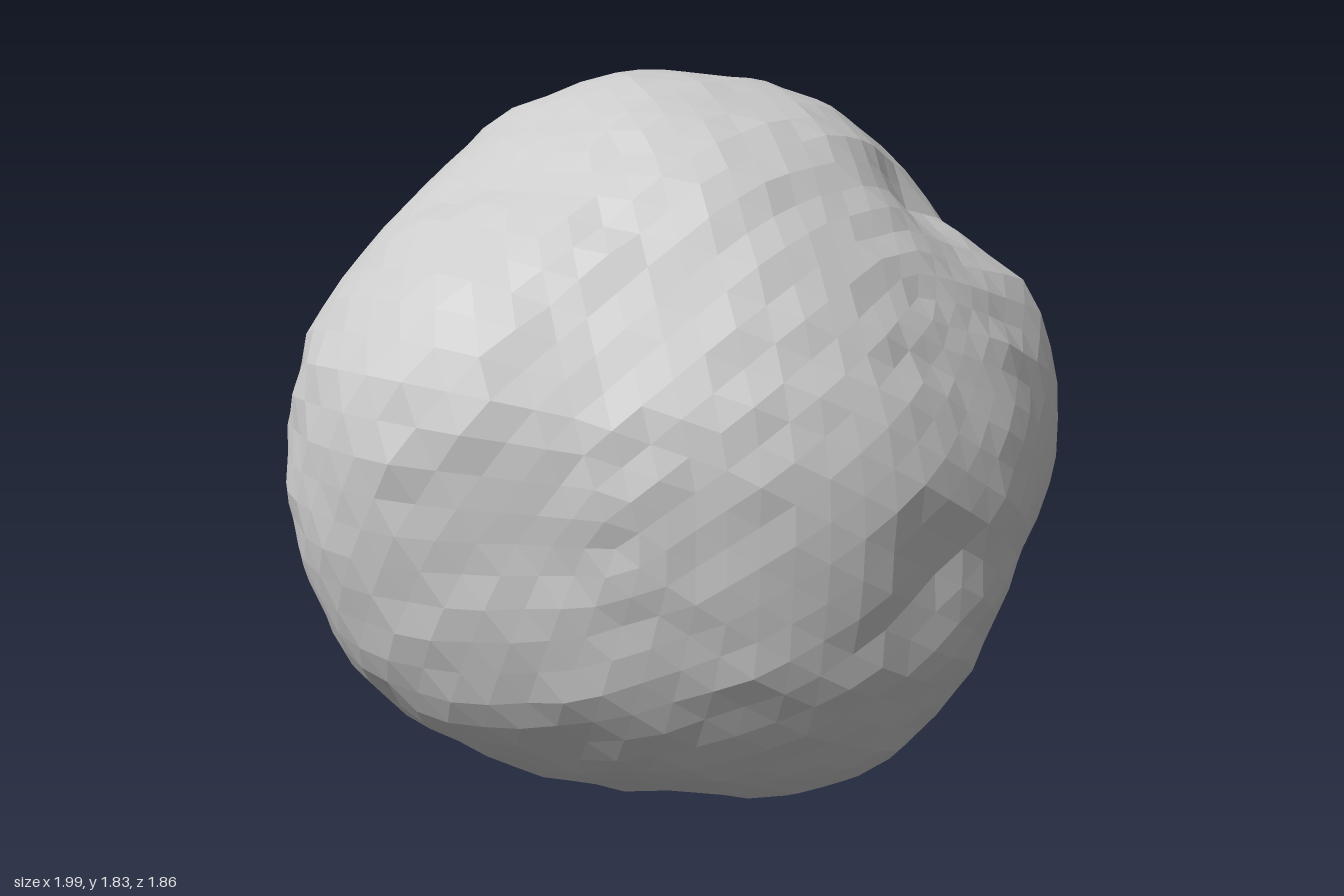
import * as THREE from 'three';

const CY = 0.9; // height of the rock's centre

// Turns an outline of points around the centre into radius as a function of angle.
function outline(points) {
  const polar = points
    .map(([a, b]) => ({ t: Math.atan2(b, a), r: Math.hypot(a, b) }))
    .sort((p, q) => p.t - q.t);
  const first = polar[0], last = polar[polar.length - 1];
  polar.unshift({ t: last.t - 2 * Math.PI, r: last.r });
  polar.push({ t: first.t + 2 * Math.PI, r: first.r });
  return (a, b) => {
    const t = Math.atan2(b, a);
    let i = 1;
    while (i < polar.length - 1 && polar[i].t < t) i++;
    const p = polar[i - 1], q = polar[i];
    return THREE.MathUtils.lerp(p.r, q.r, (t - p.t) / (q.t - p.t || 1));
  };
}

const lift = ([a, y]) => [a, y - CY];

// Outline across x and y
const frontRadius = outline([
  [0, 1.82], [-0.27, 1.77], [-0.55, 1.58], [-0.8, 1.42], [-0.95, 1.25], [-1, 1.08],
  [-0.97, 0.8], [-0.88, 0.48], [-0.73, 0.31], [-0.5, 0.17], [-0.2, 0.05], [0.13, 0],
  [0.37, 0.04], [0.65, 0.15], [0.85, 0.36], [0.97, 0.55], [1, 0.72], [0.94, 1.02],
  [0.85, 1.27], [0.75, 1.47], [0.63, 1.64], [0.4, 1.76], [0.2, 1.81],
].map(lift));

// Outline across z and y
const sideRadius = outline([
  [-0.12, 1.82], [0.18, 1.79], [0.45, 1.68], [0.56, 1.56], [0.73, 1.35], [0.8, 1.23],
  [0.88, 1.05], [0.94, 0.8], [0.89, 0.5], [0.78, 0.3], [0.62, 0.15], [0.3, 0.05], [0, 0.01],
  [-0.25, 0.05], [-0.45, 0.09], [-0.6, 0.2], [-0.7, 0.42], [-0.82, 0.64], [-0.93, 0.87],
  [-0.83, 1.05], [-0.66, 1.32], [-0.5, 1.57], [-0.3, 1.75],
].map(lift));

// Outline across x and z
const topRadius = outline([
  [0, -0.93], [0.12, -0.93], [0.4, -0.86], [0.55, -0.77], [0.86, -0.5], [0.97, -0.3],
  [1, -0.15], [0.95, 0.05], [0.84, 0.4], [0.74, 0.6], [0.65, 0.79], [0.4, 0.86],
  [0.15, 0.92], [-0.3, 0.88], [-0.47, 0.78], [-0.65, 0.6], [-0.84, 0.31],
  [-0.93, 0.13], [-1, -0.05], [-0.97, -0.25], [-0.87, -0.42], [-0.73, -0.57], [-0.52, -0.74], [-0.25, -0.87],
]);

// Local dents (negative) and bumps: direction, depth, angular width
const features = [
  [0.39, 0.63, 0.52, -0.08, 0.2],    // notch in the upper front
  [0.63, 0.35, 0.7, 0.03, 0.16],     // top of the front ridge
  [0.5, -0.5, 0.64, -0.07, 0.32],    // broad lower front face under the ridge
  [0.75, -0.3, 0.45, -0.02, 0.25],   // undercut beside the ridge
  [-0.18, -0.14, 0.9, -0.04, 0.14],  // small chip in the front
  [-0.75, 0.47, 0.39, -0.05, 0.25],  // flattened upper shoulder
  [0.03, 0.64, -0.5, -0.05, 0.2],    // hollow high on the back
  [0.52, -0.3, -0.65, -0.05, 0.22],  // valley low on the back
  [0.57, -0.65, -0.37, 0.02, 0.18],  // crest under the valley
].map(([x, y, z, depth, width]) => ({ dir: new THREE.Vector3(x, y, z).normalize(), depth, width }));

// Blends the outlines by how near the direction lies to each of their planes.
function rockRadius(d) {
  const wf = 1 / (d.z * d.z + 0.01);
  const ws = 1 / (d.x * d.x + 0.01);
  const wt = 1 / (d.y * d.y + 0.01);
  let r = (wf * frontRadius(d.x, d.y) + ws * sideRadius(d.z, d.y) + wt * topRadius(d.x, d.z)) / (wf + ws + wt);
  for (const f of features) {
    const angle = d.angleTo(f.dir);
    r += f.depth * Math.exp(-((angle / f.width) ** 2));
  }
  // Fine chipping, stretched sideways
  r += 0.006 * Math.sin(9 * d.x + 21 * d.y + 4) * Math.sin(11 * d.z - 8 * d.y);
  r += 0.005 * Math.sin(31 * d.y + 13 * d.x) * Math.sin(23 * d.z + 17 * d.x + 1);
  return r;
}

export function createModel() {
  const group = new THREE.Group();
  group.name = 'boulder';

  // Faceted ball pushed out to the rock's shape
  const geometry = new THREE.IcosahedronGeometry(1, 12);
  const pos = geometry.attributes.position;
  const d = new THREE.Vector3();
  for (let i = 0; i < pos.count; i++) {
    d.fromBufferAttribute(pos, i).normalize();
    const r = rockRadius(d);
    pos.setXYZ(i, d.x * r, d.y * r + CY, d.z * r);
  }

  // Centre it and settle it on the ground
  geometry.computeBoundingBox();
  const mid = geometry.boundingBox.getCenter(new THREE.Vector3());
  geometry.translate(-mid.x, -geometry.boundingBox.min.y, -mid.z);
  geometry.computeVertexNormals();

  const rock = new THREE.Mesh(
    geometry,
    new THREE.MeshStandardMaterial({ color: 0xcccccc, flatShading: true }),
  );
  rock.name = 'rock';
  group.add(rock);
  return group;
}
